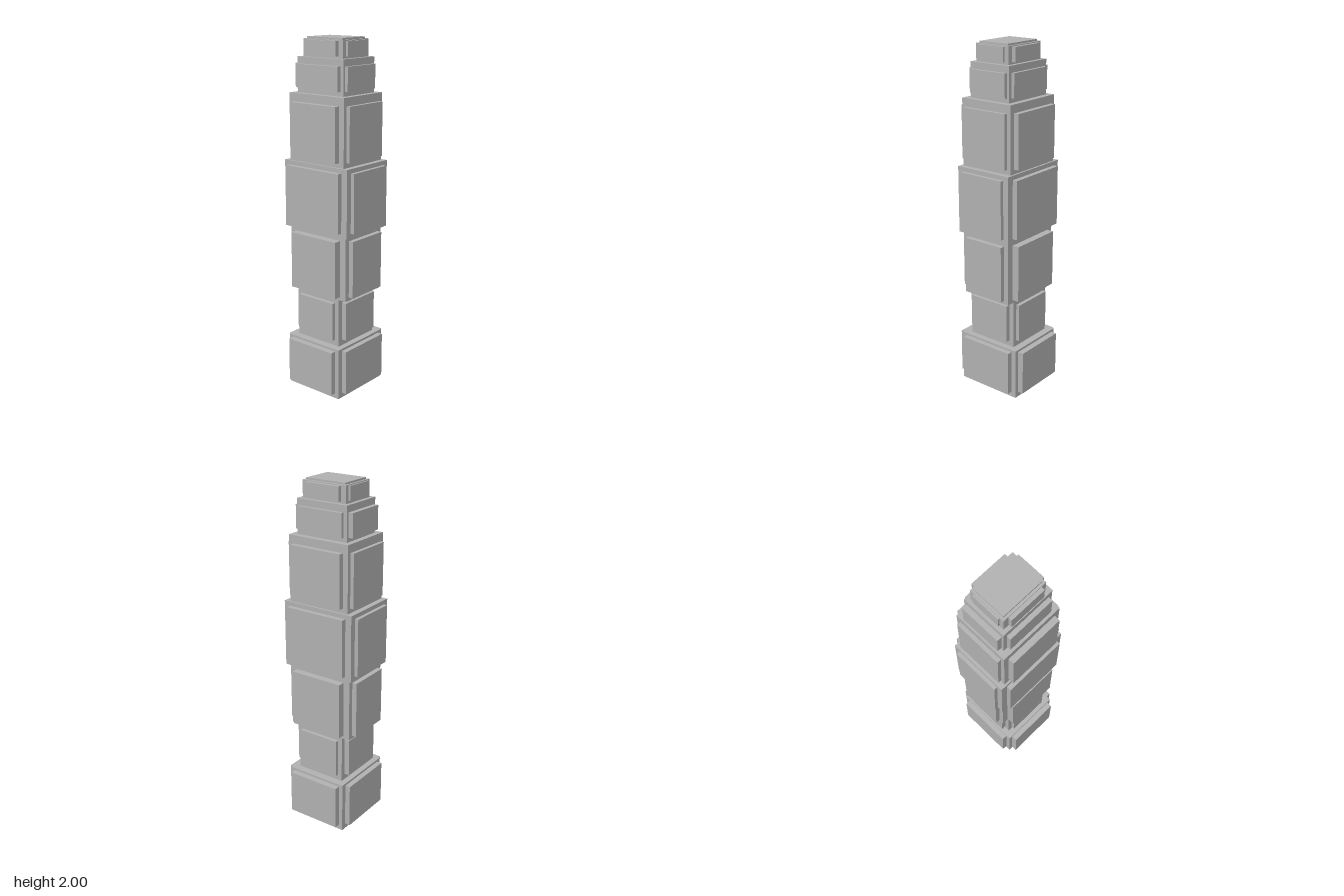
import * as THREE from 'three';

// One row per block: bottom, top, core half-width, core half-depth,
// panel bottom, panel top, front panel half-width, front reach (z),
// side panel half-depth, left reach (+x), right reach (-x), back reach (-z)
const BLOCKS = [
  [0.00, 0.30, 0.184, 0.197, 0.03, 0.287, 0.16, 0.231, 0.167, 0.213, 0.215, 0.231],
  [0.30, 0.58, 0.150, 0.155, 0.335, 0.557, 0.125, 0.178, 0.127, 0.180, 0.180, 0.176],
  [0.58, 0.95, 0.199, 0.155, 0.60, 0.925, 0.16, 0.199, 0.127, 0.227, 0.227, 0.196],
  [0.95, 1.33, 0.222, 0.175, 0.975, 1.306, 0.184, 0.203, 0.141, 0.243, 0.243, 0.203],
  [1.33, 1.703, 0.191, 0.164, 1.357, 1.657, 0.16, 0.198, 0.141, 0.212, 0.212, 0.193],
  [1.703, 1.895, 0.160, 0.130, 1.727, 1.858, 0.139, 0.155, 0.117, 0.178, 0.188, 0.148],
  [1.895, 1.99, 0.137, 0.108, 1.907, 1.985, 0.107, 0.129, 0.083, 0.150, 0.147, 0.129],
];

export function createModel() {
  const model = new THREE.Group();
  model.name = 'steppedTower';
  const stone = new THREE.MeshStandardMaterial({ color: 0xb0b0b0 });
  stone.name = 'greyStone';

  // Box given by its minimum and maximum corners
  const box = (parent, name, x0, x1, y0, y1, z0, z1) => {
    const mesh = new THREE.Mesh(new THREE.BoxGeometry(x1 - x0, y1 - y0, z1 - z0), stone);
    mesh.position.set((x0 + x1) / 2, (y0 + y1) / 2, (z0 + z1) / 2);
    mesh.name = name;
    parent.add(mesh);
  };

  BLOCKS.forEach(([y0, y1, w, d, p0, p1, fw, front, sd, left, right, back], i) => {
    const block = new THREE.Group();
    block.name = `block${i + 1}`;
    box(block, 'core', -w, w, y0, y1, -d, d);
    // Raised panel on each of the four faces
    box(block, 'frontPanel', -fw, fw, p0, p1, d, front);
    box(block, 'backPanel', -fw, fw, p0, p1, -back, -d);
    box(block, 'leftPanel', w, left, p0, p1, -sd, sd);
    box(block, 'rightPanel', -right, -w, p0, p1, -sd, sd);
    model.add(block);
  });

  // Thin plate finishing the top
  box(model, 'capPlate', -0.124, 0.124, 1.99, 2.0, -0.094, 0.094);
  return model;
}
